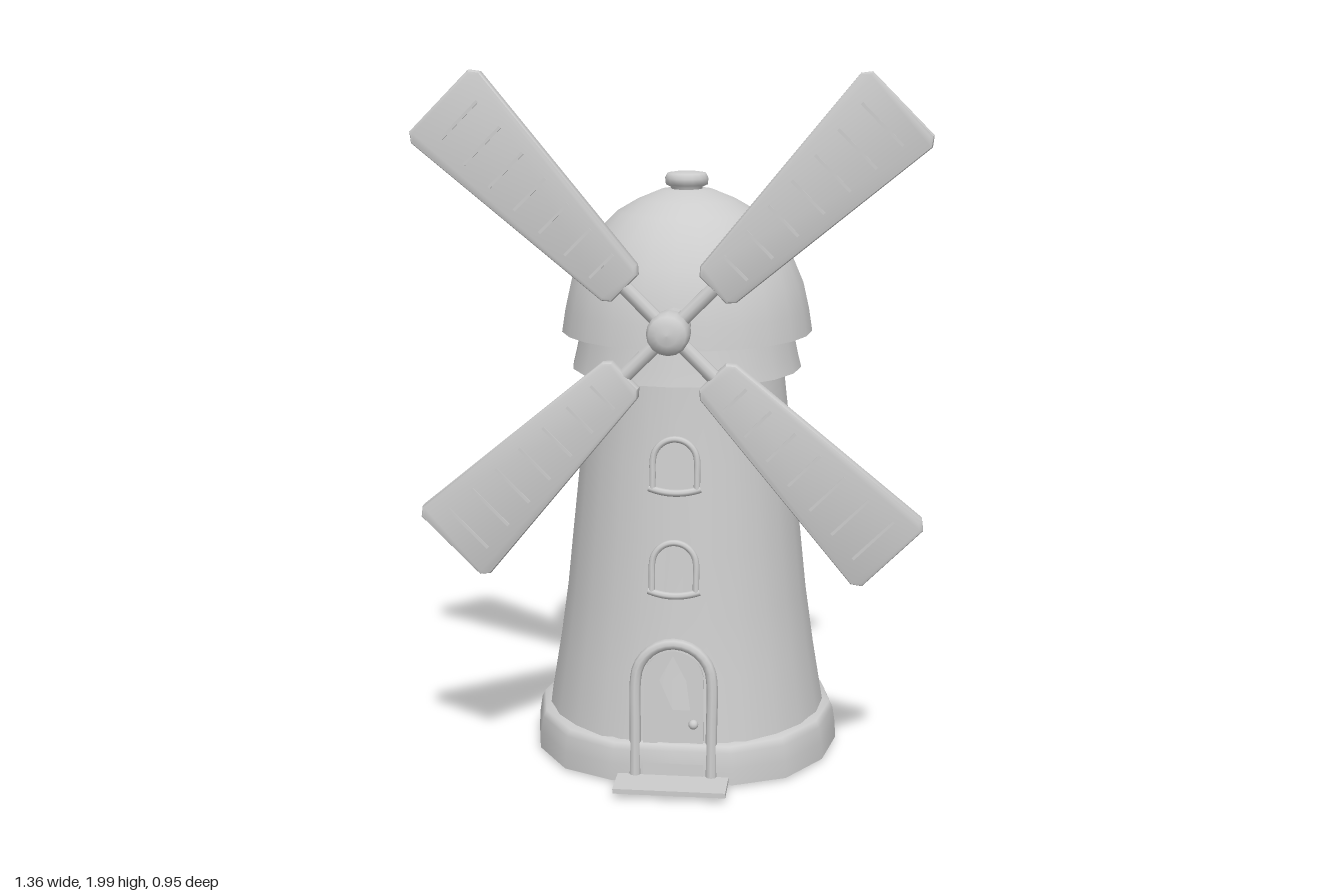
import * as THREE from 'three';
import { toCreasedNormals } from 'three/addons/utils/BufferGeometryUtils.js';

const plaster = new THREE.MeshStandardMaterial({ color: 0xcccccc, side: THREE.DoubleSide });
plaster.name = 'pale grey';

const CX = -0.008, CZ = -0.03; // axis of the tower

function add(parent, name, geometry, x = 0, y = 0, z = 0) {
  const mesh = new THREE.Mesh(geometry, plaster);
  mesh.name = name;
  mesh.position.set(x, y, z);
  parent.add(mesh);
  return mesh;
}

// Turned part; maxZ flattens the front where the doorway stands
function turned(parent, name, profile, sides, cz = CZ, maxZ = Infinity) {
  const g = new THREE.LatheGeometry(profile.map(([r, y]) => new THREE.Vector2(r, y)), sides);
  const p = g.attributes.position;
  for (let i = 0; i < p.count; i++) p.setZ(i, Math.min(p.getZ(i), maxZ - cz));
  return add(parent, name, g, CX, 0, cz);
}

function archShape(halfWidth, height) {
  const s = new THREE.Shape();
  s.moveTo(-halfWidth, 0);
  s.lineTo(halfWidth, 0);
  s.lineTo(halfWidth, height - halfWidth);
  s.absarc(0, height - halfWidth, halfWidth, 0, Math.PI, false);
  s.closePath();
  return s;
}

function archPanel(halfWidth, height, depth) {
  const g = new THREE.ExtrudeGeometry(archShape(halfWidth, height), { depth, bevelEnabled: false, curveSegments: 10 });
  g.translate(0, 0, -depth);
  return toCreasedNormals(g, 0.6);
}

function archTube(halfWidth, height, foot, radius) {
  const pts = [new THREE.Vector3(halfWidth, foot, 0), new THREE.Vector3(halfWidth, (foot + height - halfWidth) / 2, 0)];
  for (let i = 0; i <= 8; i++) {
    const a = (i / 8) * Math.PI;
    pts.push(new THREE.Vector3(halfWidth * Math.cos(a), height - halfWidth + halfWidth * Math.sin(a), 0));
  }
  pts.push(new THREE.Vector3(-halfWidth, (foot + height - halfWidth) / 2, 0), new THREE.Vector3(-halfWidth, foot, 0));
  return new THREE.TubeGeometry(new THREE.CatmullRomCurve3(pts), 40, radius, 8);
}

function makeTower(model) {
  const tower = new THREE.Group();
  tower.name = 'tower';
  model.add(tower);
  turned(tower, 'towerWall',
    [[0.425, 0], [0.408, 0.12], [0.378, 0.3], [0.354, 0.47], [0.335, 0.65], [0.308, 0.9], [0.282, 1.13], [0.278, 1.24]],
    24, -0.035, 0.345);
  turned(tower, 'baseRing', [[0.45, 0], [0.447, 0.05], [0.44, 0.095], [0.43, 0.115], [0.4, 0.12]], 16, CZ, 0.355);
  // Stepped eaves under the dome
  turned(tower, 'collar', [[0.332, 1.13], [0.322, 1.17], [0.308, 1.237]], 20, -0.04);
  turned(tower, 'collarUnderside', [[0.278, 1.135], [0.332, 1.13]], 20, -0.04);
}

function makeRoof(model) {
  const roof = new THREE.Group();
  roof.name = 'roof';
  model.add(roof);
  turned(roof, 'dome',
    [[0.362, 1.235], [0.352, 1.3], [0.335, 1.375], [0.303, 1.45], [0.255, 1.52], [0.2, 1.575], [0.14, 1.61], [0.075, 1.637], [0, 1.645]],
    24, -0.045);
  turned(roof, 'domeUnderside', [[0.28, 1.237], [0.362, 1.235]], 24, -0.045);
  turned(roof, 'finial',
    [[0.045, 1.62], [0.045, 1.645], [0.06, 1.652], [0.062, 1.67], [0.055, 1.684], [0.03, 1.688], [0, 1.689]],
    16, -0.04);
}

function makeDoor(model) {
  const door = new THREE.Group();
  door.name = 'door';
  door.position.set(-0.006, 0, 0.355);
  door.rotation.x = -0.07;
  model.add(door);
  add(door, 'doorReveal', archPanel(0.115, 0.405, 0.1), 0, 0, -0.004);
  add(door, 'doorLeaf', archPanel(0.085, 0.385, 0.01), 0, 0, 0.004);
  add(door, 'doorFrame', archTube(0.108, 0.405, 0, 0.016));
  add(door, 'doorKnob', new THREE.SphereGeometry(0.014, 12, 8), 0.058, 0.178, 0.014);
  add(model, 'doorStep', new THREE.BoxGeometry(0.315, 0.014, 0.2), -0.006, 0.016, 0.365);
}

function makeWindow(model, y, z) {
  const win = new THREE.Group();
  win.name = 'window';
  win.position.set(-0.008, y, z);
  win.rotation.x = -0.1;
  model.add(win);
  add(win, 'windowPane', archPanel(0.062, 0.145, 0.04));
  add(win, 'windowHood', archTube(0.062, 0.15, 0.01, 0.009), 0, 0, 0.002);
  // Sill bows downwards in the middle
  const sill = new THREE.QuadraticBezierCurve3(
    new THREE.Vector3(-0.072, 0.012, 0), new THREE.Vector3(0, -0.012, 0.012), new THREE.Vector3(0.072, 0.012, 0));
  add(win, 'windowSill', new THREE.TubeGeometry(sill, 12, 0.01, 8));
}

function bladeGeometry() {
  const b = 0.01; // bevel
  const s = new THREE.Shape();
  s.moveTo(0.165 + b, -0.045);
  s.lineTo(0.19, -0.068 + b);
  s.lineTo(0.835 - b, -0.131 + b);
  s.lineTo(0.852 - b, -0.118 + b);
  s.lineTo(0.852 - b, 0.118 - b);
  s.lineTo(0.835 - b, 0.131 - b);
  s.lineTo(0.19, 0.068 - b);
  s.lineTo(0.165 + b, 0.045);
  s.closePath();
  const g = new THREE.ExtrudeGeometry(s, { depth: 0.026, bevelThickness: b, bevelSize: b, bevelSegments: 2 });
  g.translate(0, 0, -0.013);
  return toCreasedNormals(g, 0.7);
}

function makeSails(model) {
  const sails = new THREE.Group();
  sails.name = 'sails';
  sails.position.set(-0.008, 1.305, 0.41);
  model.add(sails);
  const shaft = add(sails, 'shaft', new THREE.CylinderGeometry(0.047, 0.047, 0.16, 16), 0, 0, -0.07);
  shaft.rotation.x = Math.PI / 2;
  const hubProfile = [[0, -0.026], [0.05, -0.026], [0.057, -0.018], [0.058, 0.035], [0.05, 0.052], [0.028, 0.061], [0, 0.064]];
  const hub = add(sails, 'hub', new THREE.LatheGeometry(hubProfile.map(([r, y]) => new THREE.Vector2(r, y)), 16));
  hub.rotation.x = Math.PI / 2;

  const blade = bladeGeometry();
  for (let i = 0; i < 4; i++) {
    const arm = new THREE.Group();
    arm.name = 'sailArm';
    arm.rotation.z = Math.PI / 4 + (i * Math.PI) / 2;
    sails.add(arm);
    add(arm, 'sailBlade', blade);
    const stock = add(arm, 'sailStock', new THREE.CylinderGeometry(0.02, 0.02, 0.17, 10), 0.12, 0, 0);
    stock.rotation.z = Math.PI / 2;
    // Slats across the front of the sail
    for (let k = 0; k < 7; k++) {
      const x = 0.25 + k * 0.088;
      const width = (0.068 + (x - 0.19) * 0.098) * 1.2;
      add(arm, 'sailSlat', new THREE.BoxGeometry(0.008, width, 0.006), x, 0, 0.024);
    }
  }
}

export function createModel() {
  const model = new THREE.Group();
  model.name = 'windmill';
  makeTower(model);
  makeRoof(model);
  makeDoor(model);
  makeWindow(model, 0.54, 0.308);
  makeWindow(model, 0.83, 0.282);
  makeSails(model);
  return model;
}
